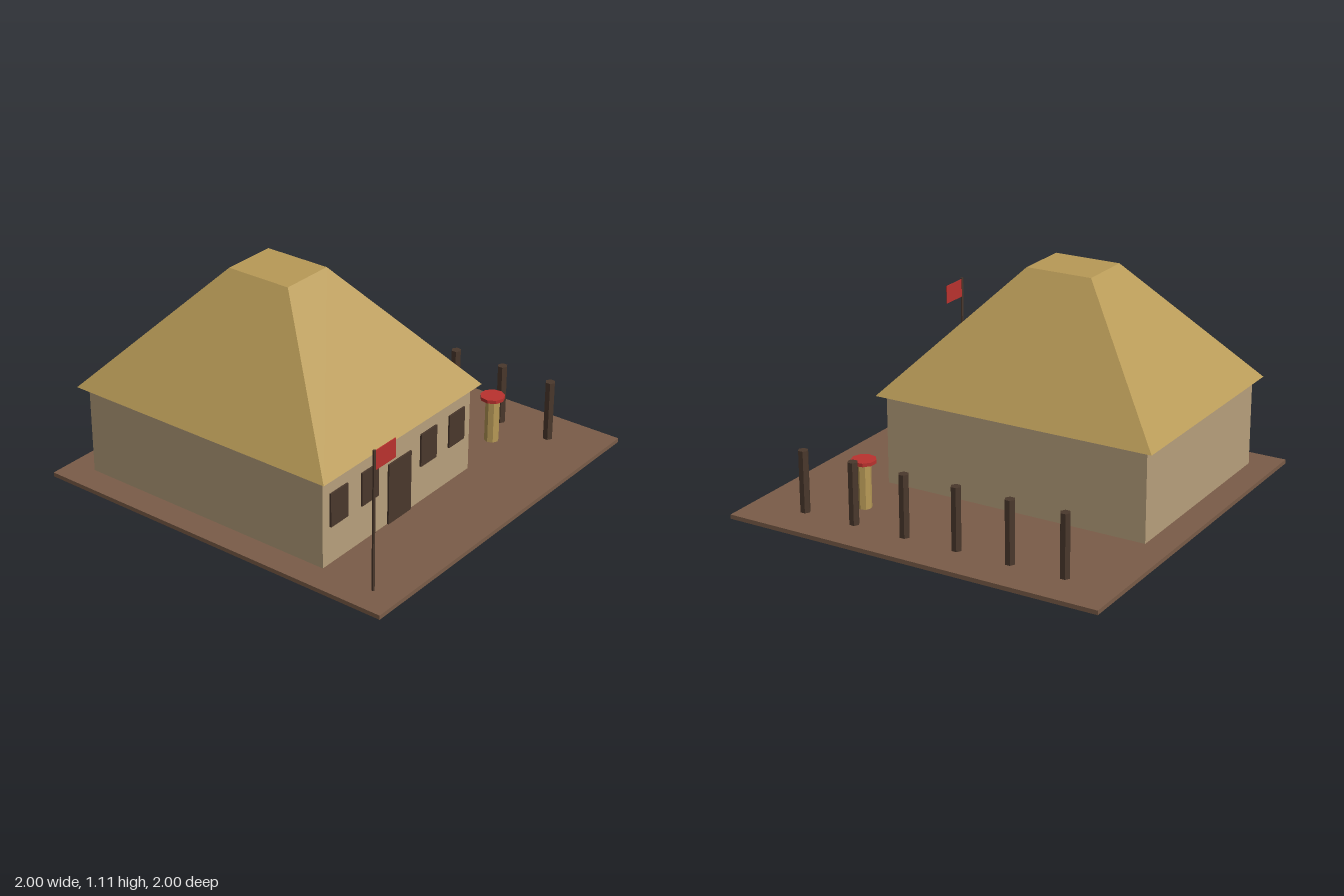
import * as THREE from 'three';

const material = (name, color) => {
  const m = new THREE.MeshStandardMaterial({ color, flatShading: true });
  m.name = name;
  return m;
};

export function createModel() {
  const earth = material('brown earth', 0x7a5c48);
  const plaster = material('tan plaster', 0xb8a07c);
  const thatch = material('golden thatch', 0xb89a57);
  const wood = material('dark wood', 0x4a382c);
  const red = material('red', 0xba322e);

  const model = new THREE.Group();
  model.name = 'thatchedHouse';

  const add = (name, geometry, mat, x, y, z) => {
    const mesh = new THREE.Mesh(geometry, mat);
    mesh.name = name;
    mesh.position.set(x, y, z);
    model.add(mesh);
    return mesh;
  };
  // Box given by its lower and upper bounds
  const box = (name, mat, [x0, x1], [y0, y1], [z0, z1]) =>
    add(name, new THREE.BoxGeometry(x1 - x0, y1 - y0, z1 - z0), mat,
      (x0 + x1) / 2, (y0 + y1) / 2, (z0 + z1) / 2);
  // Upright prism standing between two heights
  const post = (name, mat, r, sides, x, z, y0, y1) =>
    add(name, new THREE.CylinderGeometry(r, r, y1 - y0, sides), mat, x, (y0 + y1) / 2, z);

  const floor = 0.022;
  box('ground', earth, [-1, 1], [0, floor], [-1, 1]);
  box('walls', plaster, [-0.859, 0.285], [floor, 0.485], [-0.859, 0.572]);

  // Hipped roof: a box whose upper corners are drawn in to a flat top
  const roof = new THREE.BoxGeometry(1.224, 0.624, 1.512);
  const p = roof.attributes.position;
  for (let i = 0; i < p.count; i++) {
    if (p.getY(i) > 0) {
      p.setX(i, Math.sign(p.getX(i)) * 0.143);
      p.setZ(i, Math.sign(p.getZ(i)) * 0.177);
    }
  }
  roof.computeVertexNormals();
  add('roof', roof, thatch, -0.287, 0.797, -0.145);

  // Door and front windows
  box('door', wood, [-0.375, -0.2], [floor, 0.342], [0.572, 0.581]);
  for (const x of [-0.745, -0.516, -0.059, 0.17]) {
    box('window', wood, [x - 0.063, x + 0.063], [0.217, 0.391], [0.572, 0.581]);
  }

  // Row of fence posts
  for (let i = 0; i < 6; i++) {
    post('fencePost', wood, 0.026, 6, 0.786, -0.716 + i * 0.286, floor, 0.34);
  }

  // Small pillar with a red cap
  post('pillar', thatch, 0.037, 8, 0.597, 0.5, floor, 0.257);
  post('pillarCap', red, 0.063, 9, 0.597, 0.498, 0.255, 0.273);

  // Flagpole and flag
  post('flagpole', wood, 0.008, 6, -0.859, 0.857, floor, 0.737);
  box('flag', red, [-0.855, -0.706], [0.634, 0.731], [0.8545, 0.8595]);

  return model;
}
